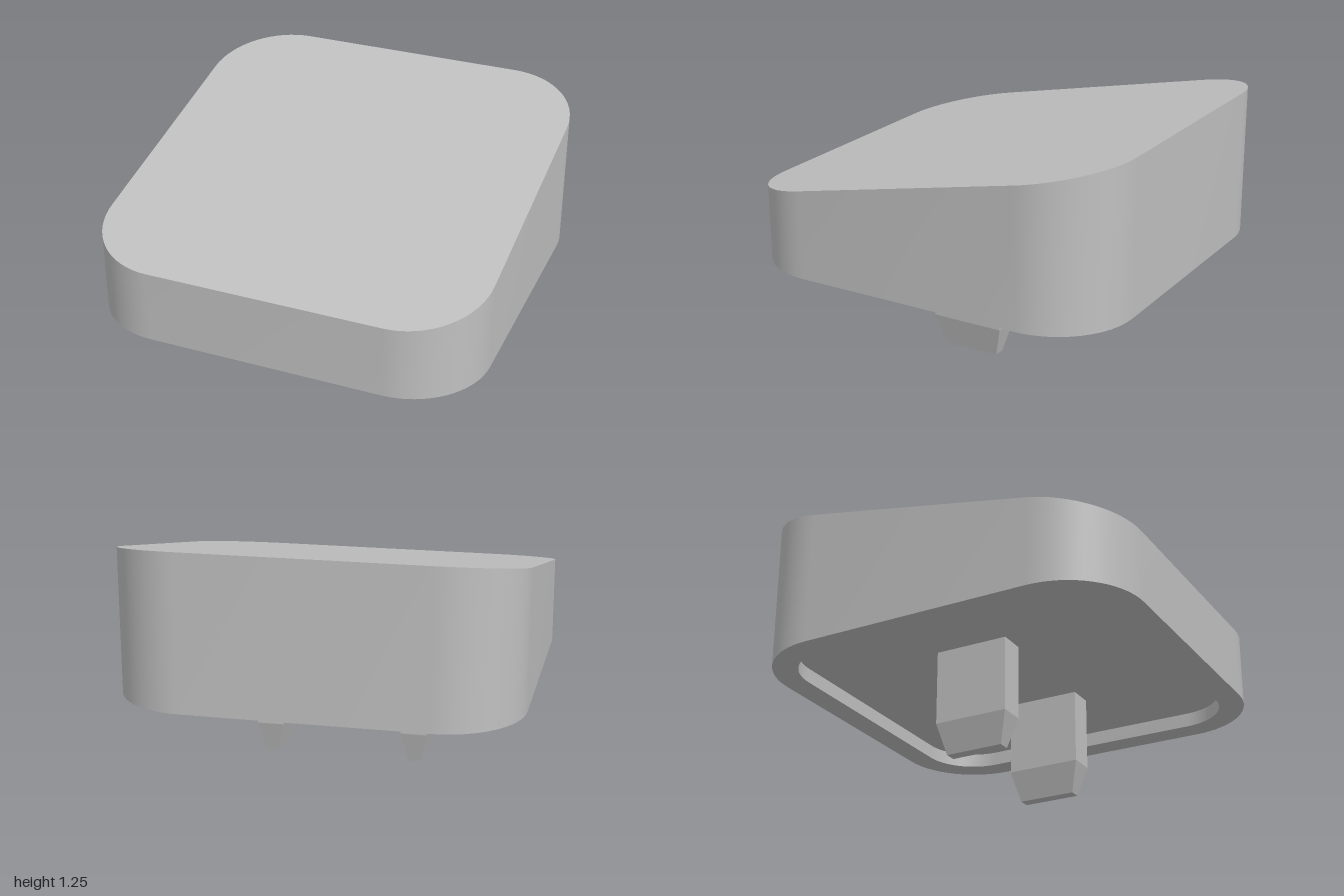
import * as THREE from 'three';
import { toCreasedNormals } from 'three/addons/utils/BufferGeometryUtils.js';

const BASE = 0.47, CEILING = 0.545, RIM = 0.13, RADIUS = 0.4, ARC_STEPS = 16;

// Rounded-square outline, shrunk by an inset, as [x, z] pairs
function outline(inset) {
  const points = [];
  const core = 1 - RADIUS, r = RADIUS - inset;
  for (let corner = 0; corner < 4; corner++) {
    const mid = (corner + 0.5) * Math.PI / 2;
    const cx = core * Math.sign(Math.cos(mid)), cz = core * Math.sign(Math.sin(mid));
    for (let i = 0; i <= ARC_STEPS; i++) {
      const a = (corner + i / ARC_STEPS) * Math.PI / 2;
      points.push([cx + r * Math.cos(a), cz + r * Math.sin(a)]);
    }
  }
  return points;
}

// Wedge cap: rings run from the recess ceiling, round the rim, up to the sloped top
function wedgeGeometry() {
  const slope = (z) => 1.05 - 0.205 * z;
  const outer = outline(0), inner = outline(RIM);
  const centre = outer.map(() => [0, 0]);
  const rings = [
    [centre, () => CEILING], [inner, () => CEILING], [inner, () => BASE],
    [outer, () => BASE], [outer, slope], [centre, slope],
  ];
  const n = outer.length, positions = [], index = [];
  for (const [points, height] of rings) {
    for (const [x, z] of points) positions.push(x, height(z), z);
  }
  for (let k = 0; k < rings.length - 1; k++) {
    for (let i = 0; i < n; i++) {
      const j = (i + 1) % n;
      const a = k * n + i, b = k * n + j, c = a + n, d = b + n;
      if (k > 0) index.push(a, c, b);
      if (k < rings.length - 2) index.push(b, c, d);
    }
  }
  const geometry = new THREE.BufferGeometry();
  geometry.setAttribute('position', new THREE.Float32BufferAttribute(positions, 3));
  geometry.setIndex(index);
  return toCreasedNormals(geometry, 0.5);
}

// Flat prong with a tapered tip
function prongGeometry() {
  const levels = [[0, 0.03, 0.15], [0.16, 0.0675, 0.193], [CEILING, 0.0675, 0.193]];
  const box = new THREE.BoxGeometry(2, 2, 2, 1, 2, 1);
  const p = box.attributes.position;
  for (let i = 0; i < p.count; i++) {
    const [y, halfX, halfZ] = levels[Math.round(p.getY(i)) + 1];
    p.setXYZ(i, p.getX(i) * halfX, y, p.getZ(i) * halfZ);
  }
  const geometry = box.toNonIndexed();
  geometry.computeVertexNormals();
  return geometry;
}

export function createModel() {
  const model = new THREE.Group();
  model.name = 'slopedCap';
  const grey = new THREE.MeshStandardMaterial({ color: 0xc0c0c0 });
  grey.name = 'grey';

  const body = new THREE.Mesh(wedgeGeometry(), grey);
  body.name = 'wedgeBody';
  model.add(body);

  // Pair of mounting prongs under the body
  const prong = prongGeometry();
  for (const [name, side] of [['leftProng', 1], ['rightProng', -1]]) {
    const mesh = new THREE.Mesh(prong, grey);
    mesh.name = name;
    mesh.position.x = side * 0.38;
    model.add(mesh);
  }
  return model;
}
